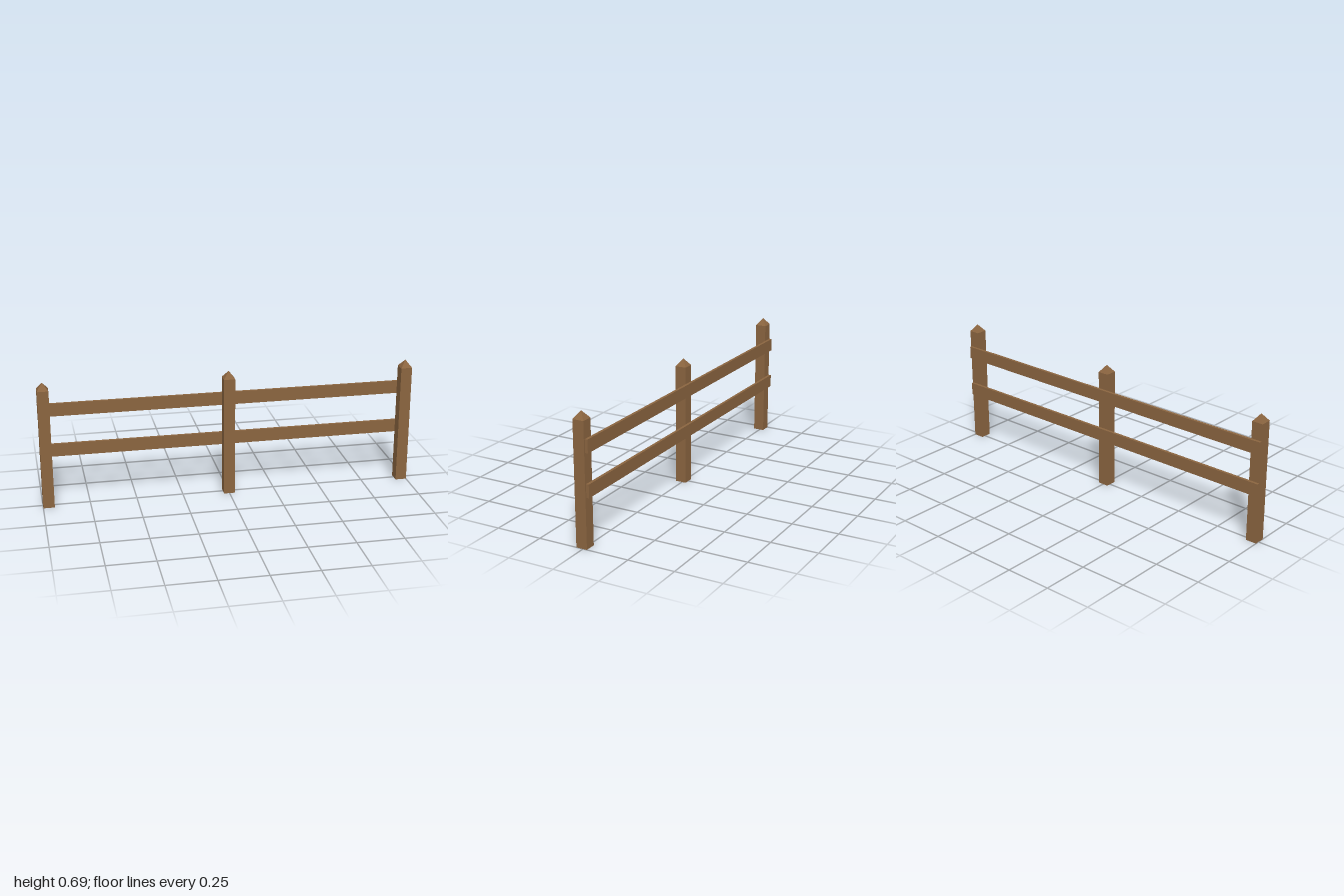
import * as THREE from 'three';

const POST = 0.06, POST_H = 0.648, TIP_H = 0.039, POST_Z = 0.0075;
const RAIL_H = 0.069, RAIL_D = 0.015;

export function createModel() {
  const fence = new THREE.Group();
  fence.name = 'fence';
  const wood = new THREE.MeshStandardMaterial({ color: 0x8b6540, flatShading: true });

  const add = (parent, name, geometry, x, y, z) => {
    const mesh = new THREE.Mesh(geometry, wood);
    mesh.name = name;
    mesh.position.set(x, y, z);
    parent.add(mesh);
  };

  // Square posts with pyramid tips
  const shaft = new THREE.BoxGeometry(POST, POST_H, POST);
  const tip = new THREE.ConeGeometry(POST / Math.SQRT2, TIP_H, 4, 1, true).rotateY(Math.PI / 4);
  [['rightPost', -0.97], ['middlePost', 0], ['leftPost', 0.97]].forEach(([name, x]) => {
    const post = new THREE.Group();
    post.name = name;
    post.position.set(x, 0, POST_Z);
    add(post, 'postShaft', shaft, 0, POST_H / 2, 0);
    add(post, 'postTip', tip, 0, POST_H + TIP_H / 2, 0);
    fence.add(post);
  });

  // Two long rails fixed to the back of the posts, stopping just short on the left
  const rail = new THREE.BoxGeometry(1.992, RAIL_H, RAIL_D);
  const railZ = POST_Z - POST / 2 - RAIL_D / 2;
  add(fence, 'lowerRail', rail, -0.004, 0.2995, railZ);
  add(fence, 'upperRail', rail, -0.004, 0.5235, railZ);

  return fence;
}
